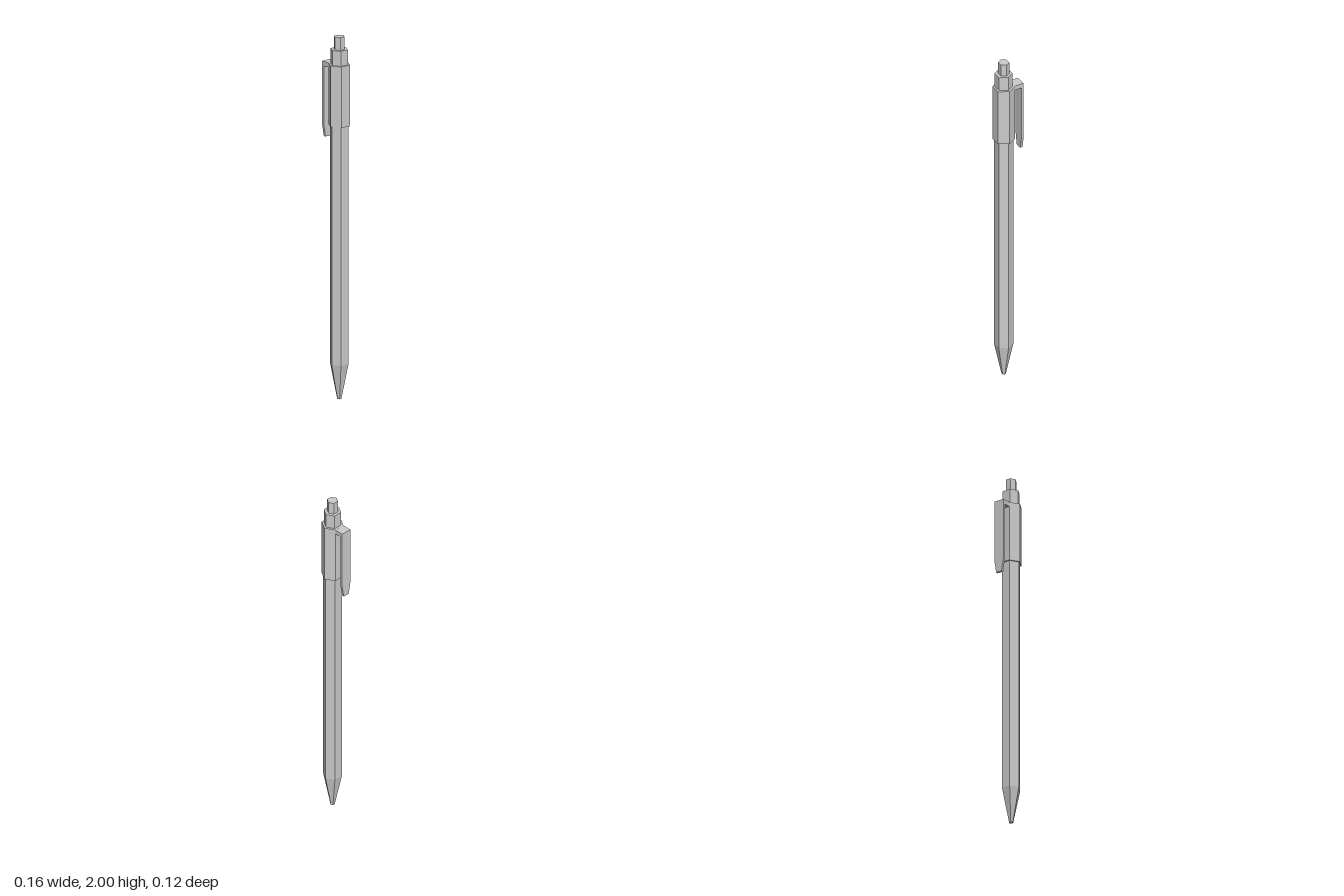
import * as THREE from 'three';

const AXIS_X = 0.026; // the barrel sits off centre to leave room for the clip

export function createModel() {
  const group = new THREE.Group();
  const material = new THREE.MeshStandardMaterial({ color: 0xcccccc, flatShading: true });

  const add = (name, geometry) => {
    const mesh = new THREE.Mesh(geometry, material);
    mesh.name = name;
    group.add(mesh);
    return mesh;
  };

  // Six-sided section between two heights, corners towards +z and -z
  const hex = (name, y0, y1, r0, r1 = r0) => {
    const mesh = add(name, new THREE.CylinderGeometry(r1, r0, y1 - y0, 6));
    mesh.position.set(AXIS_X, (y0 + y1) / 2, 0);
  };
  hex('tip', 0, 0.195, 0.012, 0.052);
  hex('barrel', 0.195, 1.51, 0.052);
  hex('collar', 1.51, 1.847, 0.06);
  hex('neck', 1.847, 1.93, 0.048);
  hex('pushButton', 1.93, 2, 0.03);

  // Clip: an arm out from the collar and a strip that narrows at its lower end
  const arm = add('clipArm', new THREE.BoxGeometry(0.039, 0.025, 0.06));
  arm.position.set(-0.0455, 1.8345, 0);

  const outline = new THREE.Shape([
    [-0.03, 1.847], [-0.03, 1.5], [-0.018, 1.43],
    [0.018, 1.43], [0.03, 1.5], [0.03, 1.847],
  ].map(([x, y]) => new THREE.Vector2(x, y)));
  const strip = new THREE.ExtrudeGeometry(outline, { depth: 0.014, bevelEnabled: false });
  strip.rotateY(-Math.PI / 2);
  add('clipStrip', strip).position.x = -0.065;

  return group;
}
